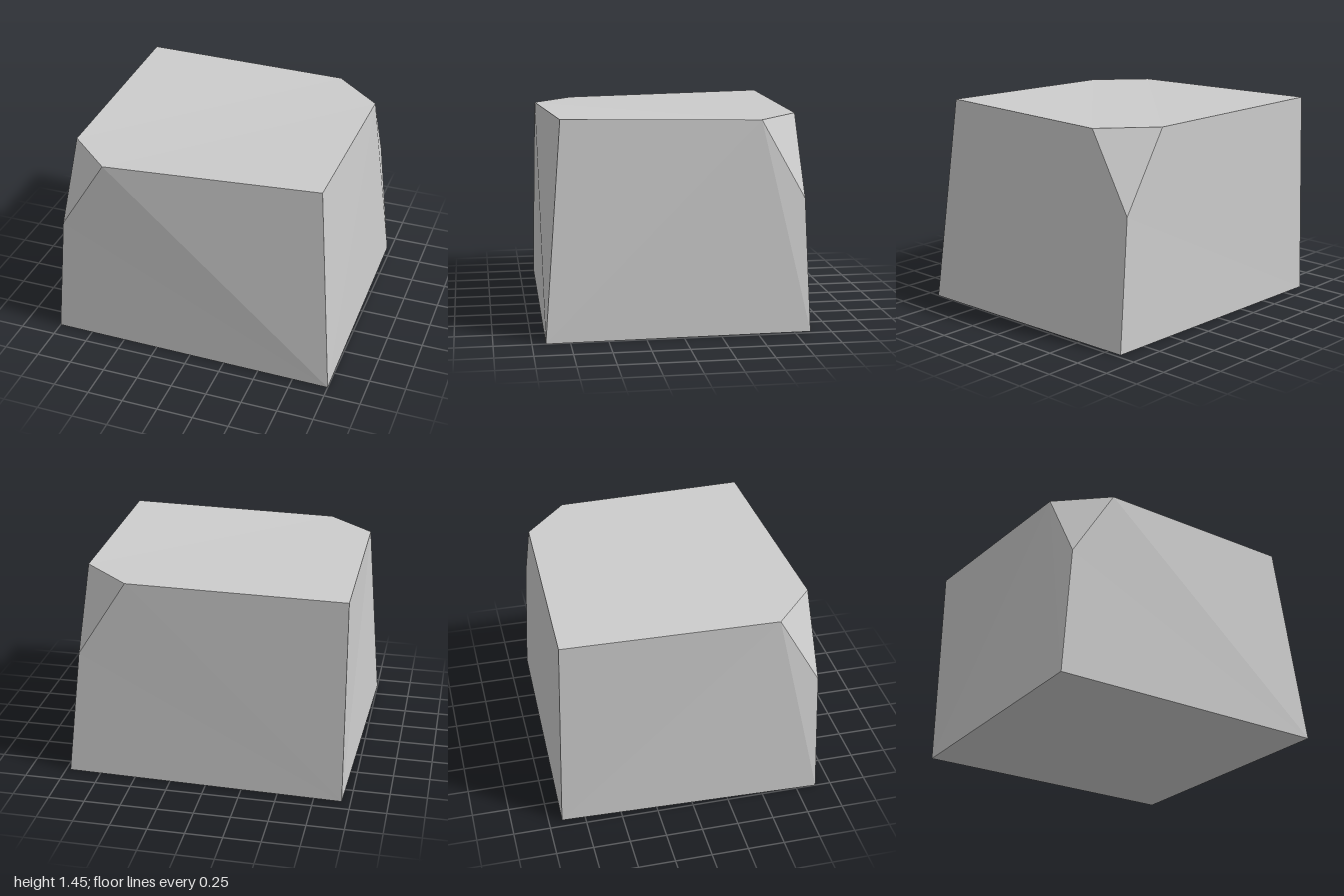
import * as THREE from 'three';

// Corners of the rough-hewn block
const P = {
  // base
  frontRight: [-1, 0, 0.89], frontLeft: [1, 0, 0.91],
  backLeft: [0.97, 0, -0.86], backRight: [-0.94, 0, -0.91],
  // whole top corners
  topFront: [0.875, 1.445, 0.79], topBack: [-0.935, 1.42, -0.87],
  // chipped front corner
  chipA: [-0.6, 1.39, 0.875], chipB: [-0.92, 1.39, 0.585], chipC: [-0.92, 0.88, 0.875],
  // chipped back corner
  nickA: [0.875, 1.42, -0.53], nickB: [0.54, 1.42, -0.83], nickC: [0.875, 0.89, -0.83],
};

// Faces, counter-clockwise from outside; each is a fan from its first corner
const FACES = [
  ['frontLeft', 'topFront', 'chipA', 'chipC', 'frontRight'], // front
  ['nickA', 'topFront', 'frontLeft', 'backLeft', 'nickC'],   // left side
  ['backRight', 'topBack', 'nickB', 'nickC', 'backLeft'],    // back
  ['chipB', 'topBack', 'backRight', 'frontRight', 'chipC'],  // right side
  ['chipA', 'topFront', 'nickA'],                            // top, in three strips
  ['chipA', 'nickA', 'nickB', 'chipB'],
  ['chipB', 'nickB', 'topBack'],
  ['chipC', 'chipA', 'chipB'],                               // front chip
  ['nickC', 'nickB', 'nickA'],                               // back chip
  ['frontRight', 'backRight', 'backLeft', 'frontLeft'],      // underside
];

function facetedGeometry(points, faces) {
  const positions = [];
  for (const face of faces) {
    for (let i = 1; i < face.length - 1; i++) {
      positions.push(...points[face[0]], ...points[face[i]], ...points[face[i + 1]]);
    }
  }
  const geometry = new THREE.BufferGeometry();
  geometry.setAttribute('position', new THREE.Float32BufferAttribute(positions, 3));
  geometry.computeVertexNormals();
  return geometry;
}

export function createModel() {
  const stone = new THREE.MeshStandardMaterial({ color: 0xcccccc });
  stone.name = 'stone grey';

  const block = new THREE.Mesh(facetedGeometry(P, FACES), stone);
  block.name = 'stoneBlock';

  const model = new THREE.Group();
  model.name = 'chippedStone';
  model.add(block);
  return model;
}
